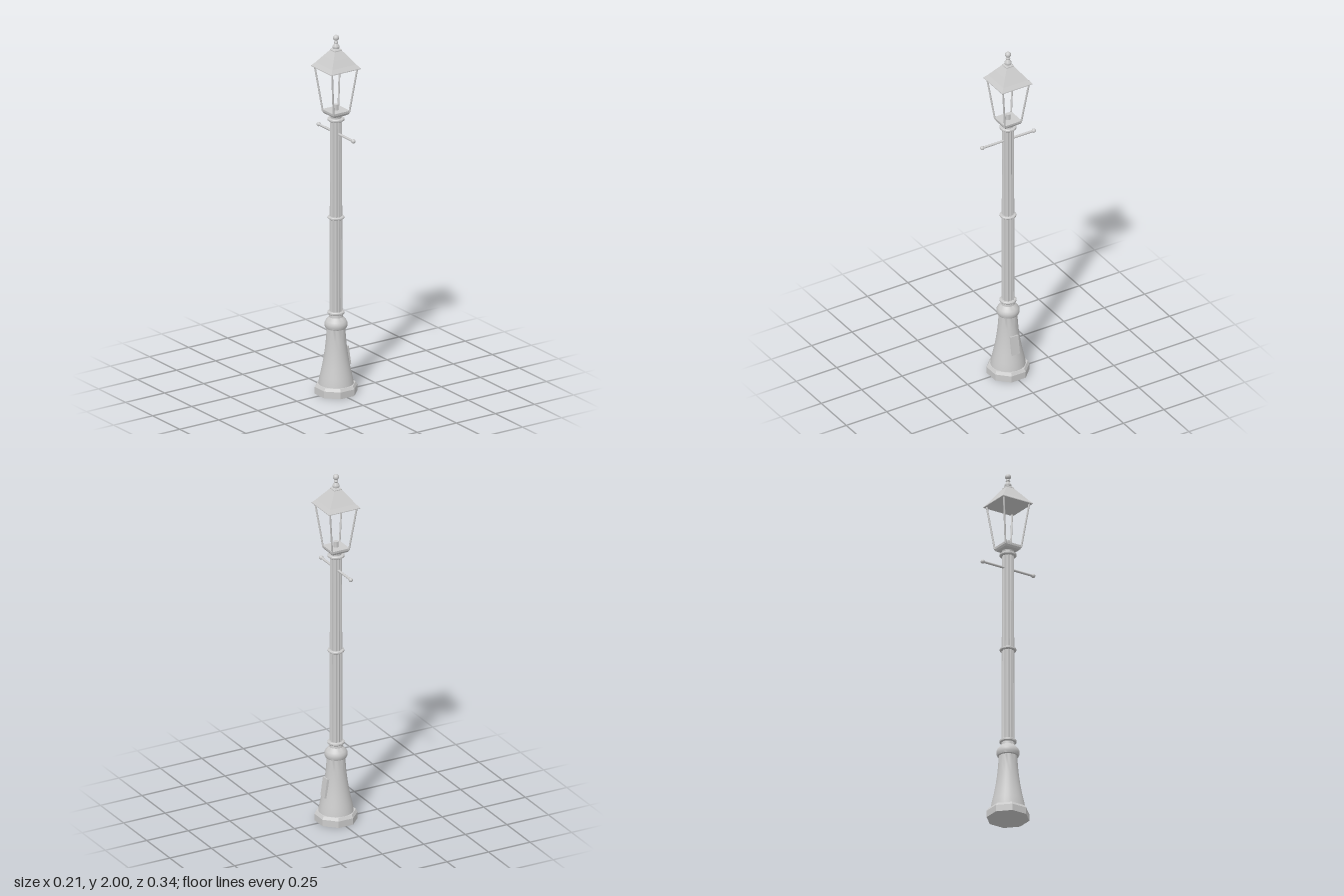
import * as THREE from 'three';
import { toCreasedNormals } from 'three/addons/utils/BufferGeometryUtils.js';

const material = new THREE.MeshStandardMaterial({ color: 0xcccccc });
const flatMaterial = new THREE.MeshStandardMaterial({ color: 0xcccccc, flatShading: true });

export function createModel() {
  const model = new THREE.Group();
  model.name = 'streetLamp';

  const add = (name, geometry, mat = material) => {
    const mesh = new THREE.Mesh(geometry, mat);
    mesh.name = name;
    model.add(mesh);
    return mesh;
  };
  const toPoints = (profile) => profile.map(([r, y]) => new THREE.Vector2(r, y));
  // Round turned part from [radius, y] pairs, bottom to top
  const turned = (name, profile, segments = 32) =>
    add(name, toCreasedNormals(new THREE.LatheGeometry(toPoints(profile), segments), 0.6));
  // Faceted part with flat sides facing the axes; profile gives [half width, y]
  const faceted = (name, sides, profile) => {
    const k = 1 / Math.cos(Math.PI / sides);
    const points = toPoints(profile.map(([r, y]) => [r * k, y]));
    return add(name, new THREE.LatheGeometry(points, sides, Math.PI / sides), flatMaterial);
  };
  const ring = (name, y, r, h) => turned(name, [
    [0, y - h / 2], [r - 0.004, y - h / 2], [r, y - h / 4],
    [r, y + h / 4], [r - 0.004, y + h / 2], [0, y + h / 2],
  ]);
  // Straight rod between two points
  const rod = (name, a, b, r, sides) => {
    const dir = b.clone().sub(a);
    const mesh = add(name, new THREE.CylinderGeometry(r, r, dir.length(), sides));
    mesh.position.copy(a).add(b).multiplyScalar(0.5);
    mesh.quaternion.setFromUnitVectors(new THREE.Vector3(0, 1, 0), dir.normalize());
    return mesh;
  };

  // Octagonal foot and flared base
  faceted('foot', 8, [[0, 0], [0.106, 0], [0.106, 0.037], [0.097, 0.053], [0, 0.053]]);
  turned('base', [
    [0, 0.05], [0.094, 0.05], [0.092, 0.065], [0.085, 0.1], [0.074, 0.15], [0.065, 0.2],
    [0.058, 0.25], [0.053, 0.3], [0.049, 0.36], [0.056, 0.363], [0.061, 0.375], [0.061, 0.39],
    [0.055, 0.403], [0.045, 0.415], [0.037, 0.424], [0.035, 0.44], [0, 0.44],
  ]);

  // Access door, leaning with the base
  const door = add('accessDoor', new THREE.BoxGeometry(0.016, 0.107, 0.046));
  door.position.set(0.066, 0.198, 0);
  door.rotation.z = 0.15;

  // Fluted shaft, slightly tapered
  const flutes = 12, steps = 6, bottom = 0.435, height = 1.1;
  const outline = [];
  for (let i = 0; i < flutes * steps; i++) {
    const a = (i / (flutes * steps)) * Math.PI * 2;
    const r = 0.0345 - 0.005 * Math.sin(((i % steps) / steps) * Math.PI);
    outline.push(new THREE.Vector2(Math.cos(a) * r, Math.sin(a) * r));
  }
  const shaft = new THREE.ExtrudeGeometry(new THREE.Shape(outline), { depth: height, bevelEnabled: false });
  shaft.rotateX(-Math.PI / 2).translate(0, bottom, 0);
  const pos = shaft.attributes.position;
  for (let i = 0; i < pos.count; i++) {
    const s = 1 - 0.08 * (pos.getY(i) - bottom) / height;
    pos.setXYZ(i, pos.getX(i) * s, pos.getY(i), pos.getZ(i) * s);
  }
  add('flutedShaft', toCreasedNormals(shaft, 0.7));

  // Collars on the shaft
  ring('lowerCollar', 0.448, 0.045, 0.016);
  ring('middleCollar', 0.98, 0.044, 0.014);
  ring('upperCollar', 1.53, 0.045, 0.016);
  turned('neck', [[0, 1.53], [0.031, 1.53], [0.029, 1.545], [0.035, 1.56], [0, 1.56]]);

  // Ladder bar with ball ends, running front to back
  rod('ladderBar', new THREE.Vector3(0, 1.452, -0.16), new THREE.Vector3(0, 1.452, 0.16), 0.0065, 12);
  for (const side of [-1, 1]) {
    add('ladderBarKnob', new THREE.SphereGeometry(0.0115, 16, 12)).position.set(0, 1.452, side * 0.16);
  }

  // Lantern tray and burner
  faceted('lanternTray', 4, [
    [0, 1.552], [0.036, 1.552], [0.046, 1.558], [0.052, 1.568], [0.053, 1.58], [0, 1.58],
  ]);
  turned('burner', [[0, 1.575], [0.013, 1.575], [0.013, 1.612], [0, 1.612]], 16);

  // Four leaning corner bars
  for (const x of [-1, 1]) {
    for (const z of [-1, 1]) {
      rod('lanternBar', new THREE.Vector3(x * 0.05, 1.57, z * 0.05),
        new THREE.Vector3(x * 0.081, 1.822, z * 0.081), 0.005, 8);
    }
  }

  // Roof with a slight flare, cap and finial
  faceted('roof', 4, [
    [0, 1.817], [0.094, 1.817], [0.094, 1.821], [0.077, 1.841], [0.05, 1.878], [0.023, 1.914], [0, 1.914],
  ]);
  faceted('roofCap', 4, [[0, 1.91], [0.023, 1.91], [0.023, 1.918], [0.016, 1.926], [0, 1.926]]);
  turned('finialStem', [
    [0, 1.922], [0.014, 1.922], [0.019, 1.931], [0.019, 1.937], [0.013, 1.946], [0.009, 1.954],
    [0.012, 1.96], [0.009, 1.966], [0.007, 1.974], [0, 1.974],
  ], 24);
  add('finialBall', new THREE.SphereGeometry(0.016, 24, 16)).position.y = 1.984;

  return model;
}
